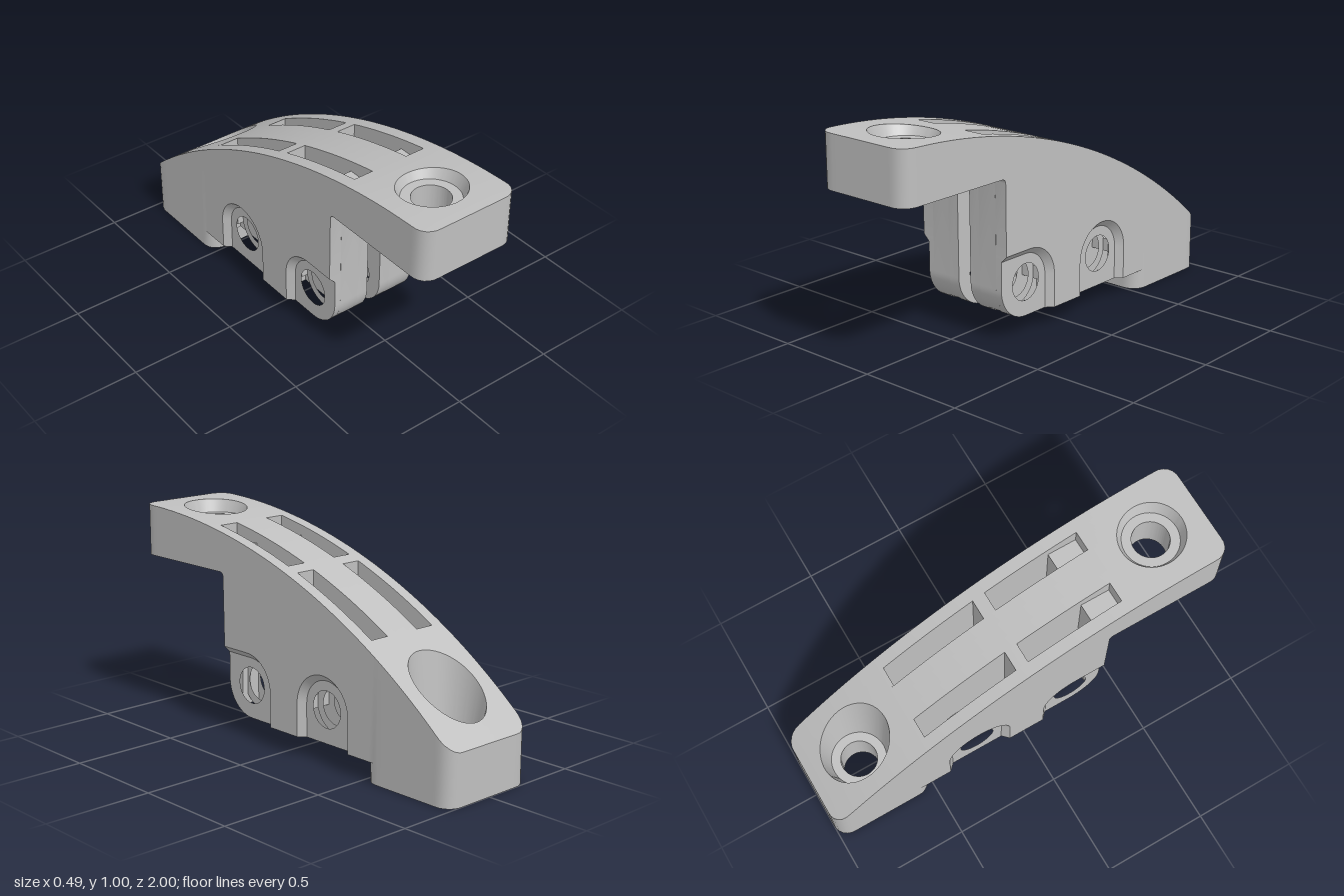
import * as THREE from 'three';
import { mergeGeometries, toCreasedNormals } from 'three/addons/utils/BufferGeometryUtils.js';

const W = 0.245, BASE = 0.093, ARM = 0.757, END = 0.51, HOLE = 0.085, AXLE_Y = 0.25, AXLES = [0.25, -0.25];

// height of the curved top at a given z
const top = z => -2 + Math.sqrt(9 - (z - 1) ** 2);
const topLine = (z0, z1, n = 24) =>
  Array.from({ length: n + 1 }, (_, i) => { const z = z0 + (z1 - z0) * i / n; return [z, top(z)]; });
const arc = (cz, cy, r, a0, a1, n = 16) =>
  Array.from({ length: n + 1 }, (_, i) => {
    const a = (a0 + (a1 - a0) * i / n) * Math.PI / 180;
    return [cz + r * Math.cos(a), cy + r * Math.sin(a)];
  });

// side profile of [z, y] points extruded from x0 to x1
function slab(points, x0, x1, holes = []) {
  const shape = new THREE.Shape(points.map(([z, y]) => new THREE.Vector2(-z, y)));
  for (const [z, y, r] of holes) {
    const h = new THREE.Path();
    h.absarc(-z, y, r, 0, Math.PI * 2, true);
    shape.holes.push(h);
  }
  const g = new THREE.ExtrudeGeometry(shape, { depth: x1 - x0, bevelEnabled: false, curveSegments: 40 });
  g.rotateY(Math.PI / 2).translate(x0, 0, 0);
  return toCreasedNormals(g, 0.5);
}

// surface through rows of [x, y, z] points
function grid(rows, flip = false) {
  const n = rows[0].length, index = [];
  for (let i = 0; i < rows.length - 1; i++)
    for (let j = 0; j < n - 1; j++) {
      const a = i * n + j, b = a + n, c = a + 1, d = b + 1;
      index.push(...(flip ? [a, c, b, b, c, d] : [a, b, c, b, d, c]));
    }
  const g = new THREE.BufferGeometry();
  g.setAttribute('position', new THREE.Float32BufferAttribute(rows.flat(2), 3));
  g.setIndex(index);
  return toCreasedNormals(g, 0.5);
}

// distance from the centre of a rounded square to its edge
function squareReach(dx, dz, h, c) {
  const ax = Math.abs(dx), az = Math.abs(dz), t = h / Math.max(ax, az);
  if (t * Math.min(ax, az) <= h - c || c === 0) return t;
  const m = (h - c) * (ax + az);
  return m + Math.sqrt(Math.max(0, m * m - 2 * (h - c) ** 2 + c * c));
}

// square end with a tapered screw seat above and a ribbed pocket below
function endPad(side, base, seatRadius, lowerCorner) {
  const z0 = side * 0.755, N = 96;
  const loop = (reach, height) => Array.from({ length: N + 1 }, (_, j) => {
    const a = j / N * Math.PI * 2, dx = Math.sin(a), dz = Math.cos(a), t = reach(dx, dz);
    const z = z0 + t * dz;
    return [t * dx, height === null ? top(z) : height, z];
  });
  const round = r => () => r;
  const outer = inner => (dx, dz) => squareReach(dx, dz, 0.245, side * dz < 0 ? inner : 0.07);
  const pocket = (dx, dz) => squareReach(dx, dz, 0.21, 0.04);
  const rows = [loop(round(HOLE), base), loop(round(HOLE), base + 0.18),
    loop(round(0.128), base + 0.18), loop(round(seatRadius), null)];
  for (const k of [0.33, 0.67])
    rows.push(loop((dx, dz) => seatRadius + (outer(0)(dx, dz) - seatRadius) * k, null));
  rows.push(loop(outer(0), null), loop(outer(0), base + BASE),
    loop(outer(lowerCorner), base + BASE), loop(outer(lowerCorner), base),
    loop(pocket, base), loop(pocket, base + 0.12),
    loop(round(0.125), base + 0.12), loop(round(0.125), base), loop(round(HOLE), base));
  return grid(rows);
}

export function createModel() {
  const grey = new THREE.MeshStandardMaterial({ color: 0xbfbfbf });
  grey.name = 'grey';
  const model = new THREE.Group();
  model.name = 'bracket';
  const add = (name, geometry, parent = model) => {
    const m = new THREE.Mesh(geometry, grey);
    m.name = name;
    parent.add(m);
    return m;
  };

  // mounting ends with diagonal ribs underneath
  for (const [name, side, base, seat, corner] of [['frontArm', 1, ARM, 0.15, 0], ['rearFoot', -1, 0, 0.165, 0.07]]) {
    add(name, endPad(side, base, seat, corner));
    for (let k = 0; k < 4; k++) {
      const a = Math.PI / 4 + k * Math.PI / 2;
      const rib = add(name + 'Rib', new THREE.BoxGeometry(0.035, 0.12, 0.17));
      rib.position.set(Math.sin(a) * 0.2, base + 0.062, side * 0.755 + Math.cos(a) * 0.2);
      rib.rotation.y = a;
    }
  }

  // profiles of the middle block
  const axleHoles = AXLES.map(z => [z, AXLE_Y, HOLE]);
  const noseCorner = arc(0.25, AXLE_Y, 0.157, -90, 0);
  const fillet = arc(0.43, 0.737, 0.02, 180, 90, 5);
  const roof = topLine(END, -END);
  const innerWall = [...roof, [-END, BASE], ...noseCorner, ...fillet, [END, ARM]];
  const outerWall = [...roof, [-END, BASE], [-0.41, BASE],
    ...arc(-0.25, AXLE_Y, 0.16, 180, 0, 24), [-0.09, BASE], [0.09, BASE],
    ...arc(0.25, AXLE_Y, 0.16, 180, 90, 12), [0.407, 0.41], ...fillet, [END, ARM]];
  const spine = [...roof, [-END, BASE], [-0.45, BASE], [-0.45, 0.5], [-0.03, 0.5],
    [-0.03, BASE], [0.03, BASE], [0.03, ARM], [END, ARM]];
  const frontWall = [[0.35, 0.129], ...arc(0.25, AXLE_Y, 0.157, -50, 0, 10), ...fillet, [END, ARM],
    [END, top(END)], [0.49, top(0.49)], [0.49, 0.88], [0.35, 0.88]];
  const crossWall = (z0, z1) => [[z0, BASE], [z1, BASE], ...topLine(z1, z0, 3)];
  const floor = (z0, z1) => [[z0, 0.22], [z1, 0.22], [z1, 0.28], [z0, 0.28]];
  const lugs = [
    [...noseCorner, [0.407, 0.41], ...arc(0.25, AXLE_Y, 0.16, 90, 180, 12), [0.09, BASE]],
    [[-0.09, BASE], ...arc(-0.25, AXLE_Y, 0.16, 0, 180, 24), [-0.41, BASE]],
  ];
  // edge of each side recess at a given radius
  const recessEdges = [
    r => [[0.407, AXLE_Y + r], ...arc(0.25, AXLE_Y, r, 90, 180, 12), [0.25 - r, BASE]],
    r => [[-0.25 + r, BASE], ...arc(-0.25, AXLE_Y, r, 0, 180, 24), [-0.25 - r, BASE]],
  ];

  // sloped rim of a side recess, closed at both ends
  function recessRim(edge, s) {
    const row = (r, x) => edge(r).map(([z, y]) => [s * x, y, z]);
    const A = row(0.16, W), B = row(0.13, 0.215), C = row(0.16, 0.215), e = A.length - 1;
    const flip = s < 0;
    return mergeGeometries([
      grid([A, B], flip),
      grid([[C[0], A[0]], [B[0], B[0]]], flip),
      grid([[A[e], C[e]], [B[e], B[e]]], flip),
    ]);
  }

  add('spine', slab(spine, -0.035, 0.035));
  for (const s of [1, -1]) {
    const half = new THREE.Group();
    half.name = s > 0 ? 'leftHalf' : 'rightHalf';
    model.add(half);
    const plate = (name, pts, x0, x1, holes) =>
      add(name, s > 0 ? slab(pts, x0, x1, holes) : slab(pts, -x1, -x0, holes), half);

    plate('innerWall', innerWall, 0.035, 0.09, axleHoles);
    plate('outerWall', outerWall, 0.185, W);
    // walls and floors between the open slots
    plate('frontWall', frontWall, 0.09, 0.185);
    plate('middleWall', crossWall(-0.03, 0.03), 0.09, 0.185);
    plate('rearWall', crossWall(-END, -0.49), 0.09, 0.185);
    for (const [z0, z1] of [[-0.49, -0.37], [-0.13, -0.03], [0.03, 0.13]])
      plate('slotFloor', floor(z0, z1), 0.09, 0.185);
    // axle tubes, lugs and recess rims
    AXLES.forEach((z, i) => {
      plate('axleTube', arc(z, AXLE_Y, 0.125, 0, 351, 39), 0.09, 0.155, [axleHoles[i]]);
      plate('axleLug', lugs[i], 0.155, 0.215, [axleHoles[i]]);
      add('recessRim', recessRim(recessEdges[i], s), half);
    });
  }
  return model;
}
